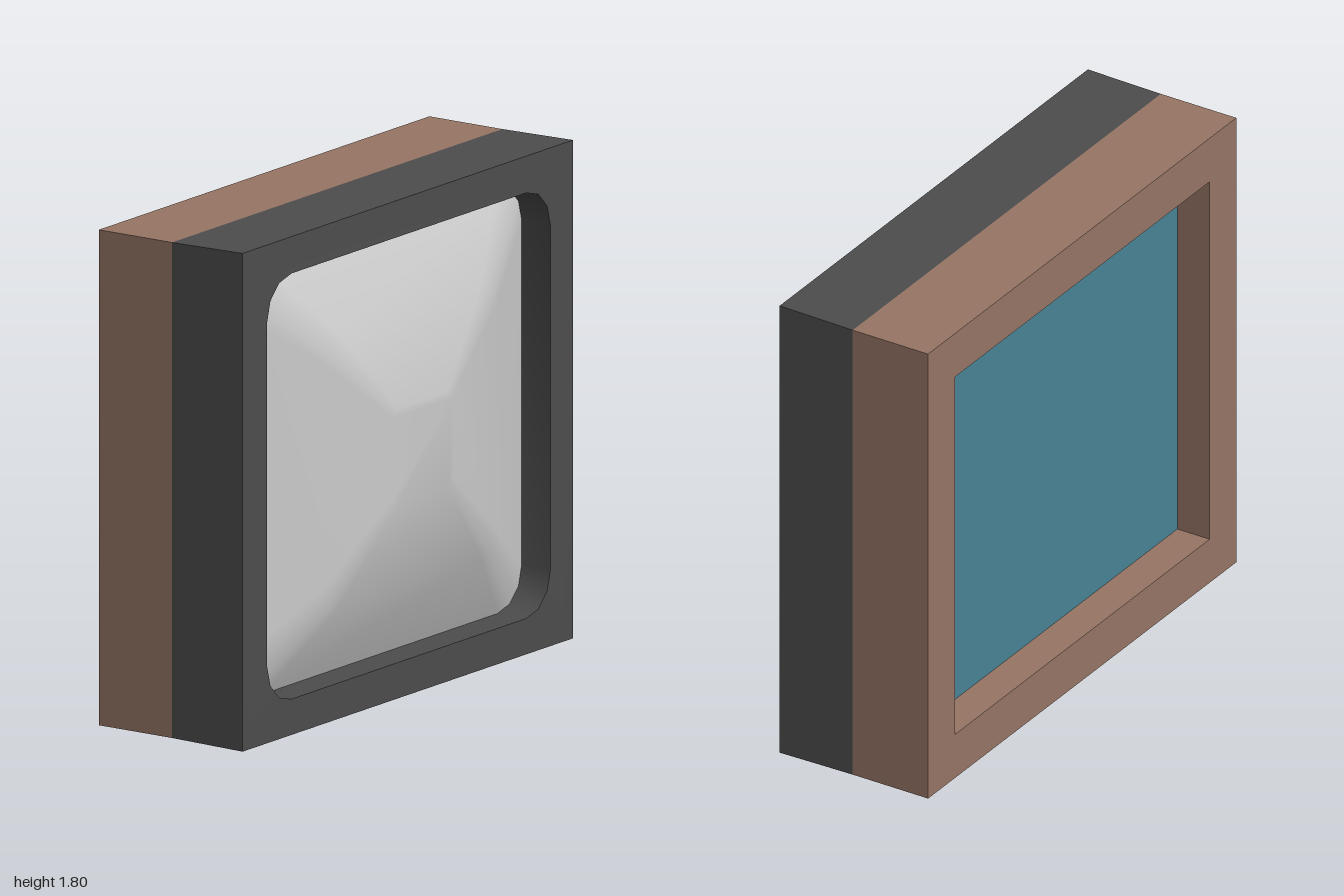
import * as THREE from 'three';
import { toCreasedNormals } from 'three/addons/utils/BufferGeometryUtils.js';

const MID_Y = 0.9025;
const STEPS = 3; // segments per rounded corner

// Rounded rectangle in the plane x, counter-clockwise seen from +x
function loop(x, halfZ, halfY, r = 0) {
  const pts = [];
  for (let c = 0; c < 4; c++) {
    const sz = c === 0 || c === 3 ? 1 : -1;
    const sy = c < 2 ? 1 : -1;
    for (let i = 0; i <= STEPS; i++) {
      const a = (c + i / STEPS) * Math.PI / 2;
      pts.push([
        x,
        MID_Y + sy * (halfY - r) + r * Math.sin(a),
        -(sz * (halfZ - r) + r * Math.cos(a)),
      ]);
    }
  }
  return pts;
}

// Skin joining consecutive loops, optionally closed at the last one
function loft(loops, cap = false) {
  const n = loops[0].length;
  const index = [];
  for (let k = 0; k < loops.length - 1; k++) {
    for (let i = 0; i < n; i++) {
      const j = (i + 1) % n;
      const a = k * n + i, b = k * n + j;
      index.push(a, b, b + n, a, b + n, a + n);
    }
  }
  if (cap) {
    const s = (loops.length - 1) * n;
    for (let i = 1; i < n - 1; i++) index.push(s, s + i, s + i + 1);
  }
  const geo = new THREE.BufferGeometry();
  geo.setAttribute('position', new THREE.Float32BufferAttribute(loops.flat(2), 3));
  geo.setIndex(index);
  geo.computeVertexNormals();
  return geo;
}

export function createModel() {
  const model = new THREE.Group();
  const add = (name, geo, color) => {
    const mesh = new THREE.Mesh(geo, new THREE.MeshStandardMaterial({ color }));
    mesh.name = name;
    model.add(mesh);
    return mesh;
  };

  // Wooden rear housing: recess walls, back rim, outer sides
  add('woodHousing', toCreasedNormals(loft([
    loop(-0.21, 0.827, 0.722),
    loop(-0.345, 0.827, 0.722),
    loop(-0.345, 1, 0.8975),
    loop(-0.03, 1, 0.8975),
  ]), 0.6), 0x967565);

  // Panel at the bottom of the rear recess
  const panel = add('backPanel', new THREE.BoxGeometry(0.02, 1.444, 1.654), 0x478395);
  panel.position.set(-0.2, MID_Y, 0);

  // Dark bezel: slightly flared sides, front rim, rounded opening
  add('bezel', toCreasedNormals(loft([
    loop(-0.03, 1, 0.8975),
    loop(0.275, 1, 0.9025),
    loop(0.279, 0.857, 0.771, 0.147),
    loop(0.155, 0.857, 0.771, 0.147),
  ]), 0.6), 0x4d4d4d);

  // Bulging screen
  add('screen', loft([
    loop(0.155, 0.857, 0.771, 0.147),
    loop(0.283, 0.52, 0.495, 0.09),
    loop(0.34, 0.18, 0.175, 0.03),
  ], true), 0xcccccc);

  return model;
}
